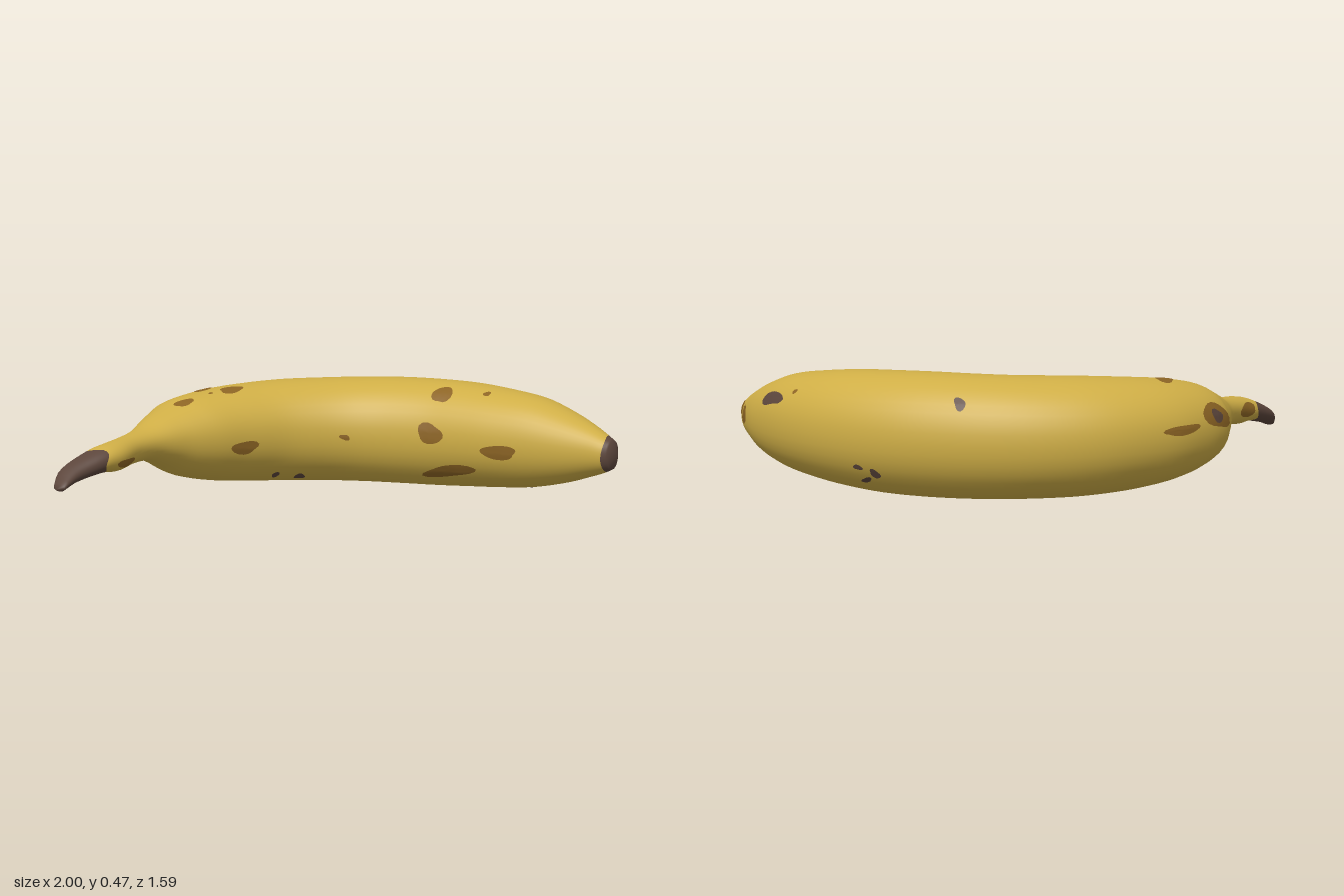
import * as THREE from 'three';

// Stations from stem to tip: outer edge x,z, inner edge x,z, bottom y, top y
const STATIONS = [
  [[-0.985, 0.77], [-0.925, 0.79], [0.15, 0.18]],
  [[-1.0, 0.70], [-0.90, 0.70], [0.17, 0.235]],
  [[-0.97, 0.57], [-0.835, 0.60], [0.19, 0.285]],
  [[-0.95, 0.50], [-0.805, 0.52], [0.185, 0.30]],
  [[-0.935, 0.38], [-0.80, 0.40], [0.195, 0.31]],
  [[-0.94, 0.27], [-0.77, 0.30], [0.19, 0.325]],
  [[-0.965, 0.16], [-0.71, 0.21], [0.15, 0.36]],
  [[-0.985, 0.07], [-0.64, 0.13], [0.105, 0.39]],
  [[-0.997, -0.01], [-0.58, 0.06], [0.075, 0.415]],
  [[-0.97, -0.15], [-0.50, -0.04], [0.045, 0.435]],
  [[-0.89, -0.33], [-0.39, -0.155], [0.025, 0.45]],
  [[-0.73, -0.52], [-0.27, -0.235], [0.012, 0.46]],
  [[-0.53, -0.655], [-0.16, -0.285], [0.006, 0.463]],
  [[-0.30, -0.745], [-0.06, -0.31], [0.002, 0.467]],
  [[-0.05, -0.79], [0.04, -0.32], [0, 0.47]],
  [[0.17, -0.79], [0.16, -0.32], [0.002, 0.468]],
  [[0.38, -0.755], [0.29, -0.305], [0.012, 0.462]],
  [[0.55, -0.695], [0.43, -0.285], [0.025, 0.447]],
  [[0.70, -0.615], [0.58, -0.27], [0.045, 0.425]],
  [[0.82, -0.53], [0.73, -0.26], [0.08, 0.38]],
  [[0.91, -0.44], [0.85, -0.255], [0.12, 0.335]],
  [[0.955, -0.39], [0.925, -0.248], [0.145, 0.305]],
  [[0.99, -0.34], [0.96, -0.255], [0.165, 0.285]],
];
const N = STATIONS.length - 1, STEPS = 4, SIDES = 40;
const STEM_ROW = 2 * STEPS, TIP_ROW = 21 * STEPS + 1;

// One closed skin swept through the stations, with dark ends as groups
function bodyGeometry() {
  const curve = k => new THREE.CatmullRomCurve3(
    STATIONS.map(s => new THREE.Vector3(s[k][0], s[k][1], 0)), false, 'catmullrom', 0.5);
  const outer = curve(0), inner = curve(1), height = curve(2);
  const soft = v => Math.sign(v) * Math.abs(v) ** 0.94;
  const rows = N * STEPS, pos = [], index = [];

  for (let i = 0; i <= rows; i++) {
    for (let j = 0; j < SIDES; j++) {
      const a = j / SIDES * Math.PI * 2, u = i / STEPS;
      // slight wave so the colour borders are not straight
      const wave = 0.12 * Math.sin(3 * a + 1) * Math.min(1, u, N - u);
      const t = (u + wave) / N;
      const o = outer.getPoint(t), n = inner.getPoint(t), h = height.getPoint(t);
      const c = soft(Math.cos(a)) / 2, s = soft(Math.sin(a)) / 2;
      pos.push((o.x + n.x) / 2 + (o.x - n.x) * c,
        (h.x + h.y) / 2 + (h.y - h.x) * s,
        (o.y + n.y) / 2 + (o.y - n.y) * c);
    }
  }
  const first = pos.length / 3, last = first + 1;
  pos.push(-0.96, 0.16, 0.795, 0.998, 0.225, -0.285);

  const ring = (i, j) => i * SIDES + j % SIDES;
  for (let j = 0; j < SIDES; j++) index.push(first, ring(0, j + 1), ring(0, j));
  for (let i = 0; i < rows; i++) {
    for (let j = 0; j < SIDES; j++) {
      const a = ring(i, j), b = ring(i, j + 1), c = ring(i + 1, j), d = ring(i + 1, j + 1);
      index.push(a, b, c, b, d, c);
    }
  }
  for (let j = 0; j < SIDES; j++) index.push(last, ring(rows, j), ring(rows, j + 1));

  const g = new THREE.BufferGeometry();
  g.setAttribute('position', new THREE.Float32BufferAttribute(pos, 3));
  g.setIndex(index);
  g.computeVertexNormals();
  const stemEnd = SIDES * 3 + STEM_ROW * SIDES * 6, tipStart = SIDES * 3 + TIP_ROW * SIDES * 6;
  g.addGroup(0, stemEnd, 1);
  g.addGroup(stemEnd, tipStart - stemEnd, 0);
  g.addGroup(tipStart, index.length - tipStart, 1);
  return g;
}

// Sides from which spots are laid on: place(a, b) gives a point far outside
const SIDE = {
  front: { place: (a, b) => [a, b, 3], dir: [0, 0, -1], flip: false },
  back: { place: (a, b) => [a, b, -3], dir: [0, 0, 1], flip: true },
  outer: { place: (a, b) => [-3, b, a], dir: [1, 0, 0], flip: false },
  inner: { place: (a, b) => [3, b, a], dir: [-1, 0, 0], flip: true },
  top: { place: (a, b) => [a, 3, b], dir: [0, -1, 0], flip: true },
  under: { place: (a, b) => [a, -3, b], dir: [0, 1, 0], flip: false },
};

// Uneven oval patch that hugs the skin
function spotGeometry(body, sideName, a, b, w, h, turn, seed, lift) {
  const side = SIDE[sideName], ray = new THREE.Raycaster();
  const dir = new THREE.Vector3(...side.dir), pos = [], index = [];
  const RINGS = 3, SEG = 18;
  let spare = null;
  const drop = (p, q) => {
    ray.set(new THREE.Vector3(...side.place(p, q)), dir);
    const hit = ray.intersectObject(body)[0];
    if (hit) spare = hit.point.clone().addScaledVector(hit.face.normal, lift);
    pos.push(spare.x, spare.y, spare.z);
  };
  drop(a, b);
  for (let r = 1; r <= RINGS; r++) {
    for (let k = 0; k < SEG; k++) {
      const t = k / SEG * Math.PI * 2;
      const f = r / RINGS * (1 + 0.12 * Math.sin(2 * t + seed) + 0.1 * Math.sin(3 * t + seed * 2.3));
      const p = Math.cos(t) * w / 2 * f, q = Math.sin(t) * h / 2 * f;
      drop(a + p * Math.cos(turn) - q * Math.sin(turn), b + p * Math.sin(turn) + q * Math.cos(turn));
    }
  }
  const tri = (x, y, z) => side.flip ? index.push(x, z, y) : index.push(x, y, z);
  const at = (r, k) => 1 + (r - 1) * SEG + k % SEG;
  for (let k = 0; k < SEG; k++) {
    tri(0, at(1, k), at(1, k + 1));
    for (let r = 1; r < RINGS; r++) {
      tri(at(r, k), at(r + 1, k), at(r + 1, k + 1));
      tri(at(r, k), at(r + 1, k + 1), at(r, k + 1));
    }
  }
  const g = new THREE.BufferGeometry();
  g.setAttribute('position', new THREE.Float32BufferAttribute(pos, 3));
  g.setIndex(index);
  g.computeVertexNormals();
  return g;
}

// side, two coordinates, width, height, turn
const BROWN_SPOTS = [
  ['front', -0.53, 0.215, 0.08, 0.055, 0], ['front', -0.18, 0.235, 0.04, 0.025, -0.3],
  ['front', 0.19, 0.265, 0.115, 0.085, 0], ['front', 0.5, 0.21, 0.17, 0.055, 0],
  ['front', 0.27, 0.105, 0.24, 0.055, 0.16],
  ['top', 0.22, -0.41, 0.08, 0.09, 0.5], ['top', 0.415, -0.41, 0.035, 0.03, 0],
  ['top', -0.78, -0.13, 0.07, 0.11, 0], ['top', -0.65, -0.14, 0.07, 0.12, 0.6],
  ['top', -0.775, 0.065, 0.08, 0.06, -0.5], ['top', -0.71, -0.06, 0.02, 0.02, 0],
  ['top', 0.53, -0.65, 0.025, 0.015, 0],
  ['outer', -0.08, 0.30, 0.17, 0.10, -0.2], ['outer', -0.29, 0.27, 0.16, 0.035, 0.1],
  ['outer', 0.47, 0.25, 0.16, 0.05, 0],
  ['inner', -0.385, 0.265, 0.07, 0.05, 0.3], ['inner', 0.51, 0.225, 0.10, 0.035, 0],
  ['back', 0.90, 0.24, 0.06, 0.07, 0],
];
const DARK_SPOTS = [
  ['top', -0.205, -0.72, 0.045, 0.03, 0], ['top', 0.655, -0.61, 0.14, 0.03, 0.5],
  ['outer', -0.09, 0.30, 0.07, 0.05, 0],
  ['back', 0.12, 0.11, 0.05, 0.03, 0.4], ['back', 0.19, 0.13, 0.04, 0.02, 0],
  ['back', 0.17, 0.08, 0.05, 0.02, -0.3],
  ['under', -0.39, -0.27, 0.05, 0.04, 0], ['under', -0.47, -0.19, 0.04, 0.03, 0],
  ['under', 0.61, -0.40, 0.025, 0.02, 0],
];

export function createModel() {
  const paint = (name, color) => {
    const m = new THREE.MeshStandardMaterial({ color });
    m.name = name;
    return m;
  };
  const yellow = paint('ripe yellow', 0xcfae46);
  const brown = paint('bruise brown', 0x8c6424);
  const dark = paint('dried dark brown', 0x5c463c);

  const group = new THREE.Group();
  group.name = 'banana';
  const body = new THREE.Mesh(bodyGeometry(), [yellow, dark]);
  body.name = 'peelWithStemAndTip';
  body.updateMatrixWorld();
  group.add(body);

  const addSpots = (list, material, name, lift) => list.forEach((s, i) => {
    const spot = new THREE.Mesh(spotGeometry(body, ...s, i * 1.7, lift), material);
    spot.name = name + (i + 1);
    group.add(spot);
  });
  addSpots(BROWN_SPOTS, brown, 'brownSpot', 0.003);
  addSpots(DARK_SPOTS, dark, 'darkSpot', 0.005);
  return group;
}
